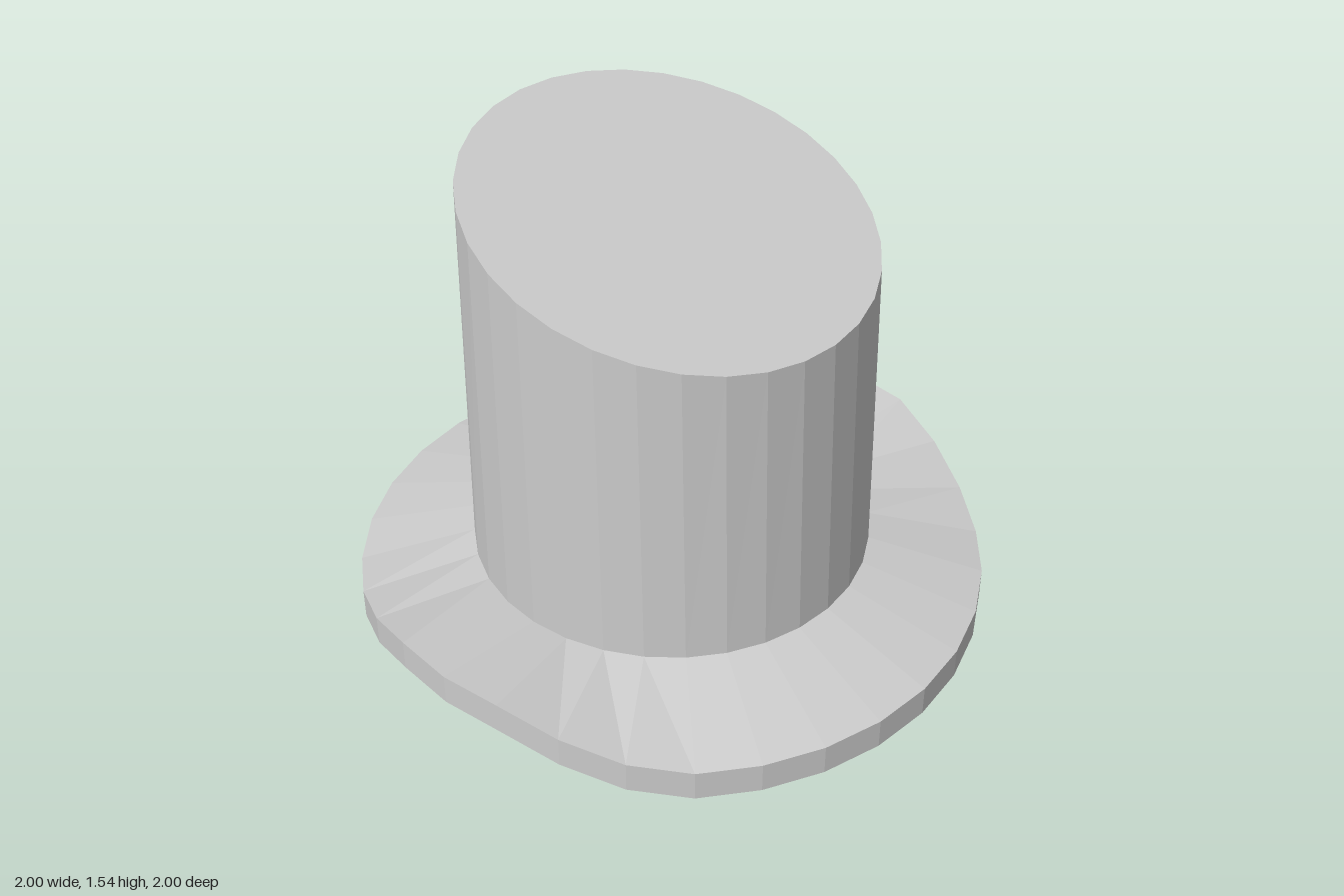
import * as THREE from 'three';

const SIDES = 32;
const RADIUS = 0.632;

function makeMesh(name, geometry) {
  const material = new THREE.MeshStandardMaterial({ color: 0xcccccc, flatShading: true });
  const mesh = new THREE.Mesh(geometry, material);
  mesh.name = name;
  return mesh;
}

// Brim: a thick ring with a hollowed underside, its rim curled up at left and right
function createBrim() {
  const profile = [[0, 0.09], [RADIUS, 0.09], [1, 0], [1, 0.1], [RADIUS, 0.2]]
    .map(([r, y]) => new THREE.Vector2(r, y));
  const geometry = new THREE.LatheGeometry(profile, SIDES);
  const lift = [0.14, 0.14, 0.085, 0.03]; // by steps away from the x axis
  const p = geometry.attributes.position;
  for (let i = 0; i < p.count; i++) {
    const x = p.getX(i), z = p.getZ(i);
    if (Math.hypot(x, z) < 0.9) continue;
    const step = Math.round(Math.atan2(Math.abs(z), Math.abs(x)) / (2 * Math.PI / SIDES));
    p.setY(i, p.getY(i) + (lift[step] ?? 0));
  }
  geometry.computeVertexNormals();
  return makeMesh('brim', geometry);
}

// Crown: a cylinder whose top ring is tilted down towards the front
function createCrown() {
  const bottom = 0.2, middle = 1.35, tilt = 0.305;
  const geometry = new THREE.CylinderGeometry(RADIUS, RADIUS, middle - bottom, SIDES);
  geometry.translate(0, (middle + bottom) / 2, 0);
  const p = geometry.attributes.position;
  for (let i = 0; i < p.count; i++) {
    if (p.getY(i) < 1) continue;
    const z = p.getZ(i);
    p.setY(i, middle - z * Math.sin(tilt));
    p.setZ(i, z * Math.cos(tilt));
  }
  geometry.computeVertexNormals();
  return makeMesh('crown', geometry);
}

export function createModel() {
  const hat = new THREE.Group();
  hat.name = 'topHat';
  hat.add(createBrim(), createCrown());
  return hat;
}
